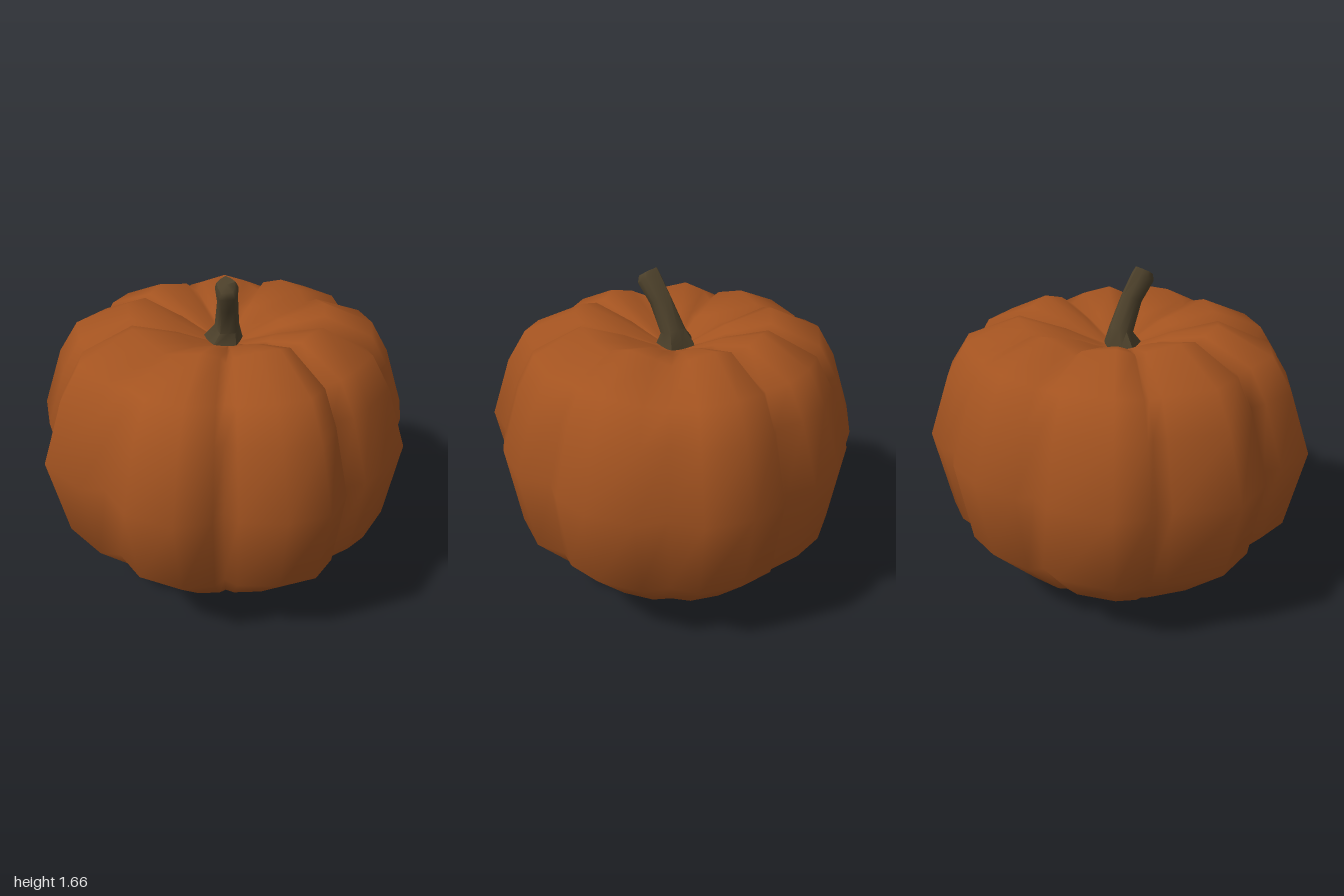
import * as THREE from 'three';
import { toCreasedNormals } from 'three/addons/utils/BufferGeometryUtils.js';

const skinMat = new THREE.MeshStandardMaterial({ color: 0xa35320 });
skinMat.name = 'pumpkin orange';
const stemMat = new THREE.MeshStandardMaterial({ color: 0x4d412b });
stemMat.name = 'stem brown';
const scarMat = new THREE.MeshStandardMaterial({ color: 0x443c0c });
scarMat.name = 'dark olive';

// Joins rings of points (clockwise from above, bottom to top), with optional end points
function loft(rings, bottom, top) {
  const n = rings[0].length, pos = rings.flat(2), index = [];
  for (let i = 0; i < rings.length; i++) {
    for (let j = 0; j < n; j++) {
      const a = i * n + j, b = i * n + (j + 1) % n;
      if (i < rings.length - 1) index.push(a, a + n, b, b, a + n, b + n);
      if (i === 0 && bottom) index.push(rings.length * n, a, b);
      if (i === rings.length - 1 && top) index.push(rings.length * n + (bottom ? 1 : 0), b, a);
    }
  }
  if (bottom) pos.push(...bottom);
  if (top) pos.push(...top);
  const geo = new THREE.BufferGeometry();
  geo.setAttribute('position', new THREE.Float32BufferAttribute(pos, 3));
  geo.setIndex(index);
  geo.computeVertexNormals();
  return geo;
}

// Nine lobes seen from above: each starts at its groove, then goes round the bulge (x, z)
const lobes = [
  [[0.11, -0.92], [0.26, -0.95], [0.48, -0.84], [0.61, -0.69]],
  [[0.64, -0.57], [0.80, -0.49], [0.89, -0.23], [0.90, -0.10]],
  [[0.86, 0.015], [0.91, 0.04], [0.98, 0.21], [0.90, 0.40], [0.75, 0.56]],
  [[0.66, 0.57], [0.68, 0.65], [0.60, 0.81], [0.38, 0.92]],
  [[0.16, 0.88], [0.08, 0.97], [-0.21, 0.99], [-0.38, 0.85]],
  [[-0.43, 0.77], [-0.54, 0.78], [-0.77, 0.67], [-0.87, 0.37]],
  [[-0.88, 0.30], [-0.93, 0.28], [-0.98, 0.12], [-0.91, -0.19]],
  [[-0.82, -0.27], [-0.85, -0.35], [-0.75, -0.57], [-0.60, -0.72]],
  [[-0.45, -0.77], [-0.43, -0.84], [-0.27, -0.95], [-0.04, -1.0]],
];

// Upright profile: radius factor, height, groove sink, roundness (1 = circle, 0 = lobed)
const profile = [
  [0.18, 0.012, 0, 1], [0.36, 0.03, 0, 0.8], [0.65, 0.12, 0, 0.5], [0.92, 0.39, 0, 0.2], [1.0, 0.82, 0, 0],
  [0.89, 1.14, 0.01, 0], [0.79, 1.31, 0.03, 0.1], [0.52, 1.435, 0.07, 0.3], [0.28, 1.36, 0.035, 0.7],
  [0.11, 1.28, 0, 1],
];

function skin() {
  const rings = profile.map(([r, y, sink, round]) => lobes.flatMap((lobe) => lobe.map(([x, z], k) => {
    // points beside a groove sink part of the way
    const g = k === 0 ? 1 : k === 1 || k === lobe.length - 1 ? 0.4 : 0;
    const s = r * (1 - round + round * 0.95 / Math.hypot(x, z));
    return [x * s, y - sink * g, z * s];
  })));
  return loft(rings, [0, 0.006, 0], [0, 1.25, 0]);
}

// Ragged scar hugging the underside
function scar() {
  const ring = [], n = 26;
  for (let i = 0; i < n; i++) {
    const a = i / n * Math.PI * 2;
    const r = 0.24 + 0.025 * Math.sin(3 * a + 1) + 0.015 * Math.sin(7 * a);
    ring.push([r * Math.cos(a), 0.009, r * Math.sin(a)]);
  }
  return loft([ring], [0, 0, 0], null);
}

// Leaning, ridged stem with a flared foot: centre x, y, z, radius, tilt
const stemRings = [
  [-0.01, 1.23, 0.025, 0.115, 0], [-0.01, 1.28, 0.025, 0.10, 0.1], [0.005, 1.35, 0.01, 0.062, 0.25],
  [0.065, 1.50, 0.055, 0.052, 0.4], [0.118, 1.60, 0.105, 0.056, 0.45], [0.122, 1.63, 0.112, 0.046, 0.45],
];

function stem() {
  const rings = stemRings.map(([cx, cy, cz, rad, tilt], level) => {
    const ring = [];
    for (let i = 0; i < 10; i++) {
      const a = i / 10 * Math.PI * 2;
      const r = rad * (i % 2 ? (level < 2 ? 0.8 : 0.92) : 1.05);
      const dx = r * Math.cos(a), dz = r * Math.sin(a);
      ring.push([cx + dx, cy - tilt * (dx + dz * 0.8), cz + dz]);
    }
    return ring;
  });
  return toCreasedNormals(loft(rings, null, [0.122, 1.633, 0.112]), 1.1);
}

export function createModel() {
  const group = new THREE.Group();
  group.name = 'pumpkin';
  const parts = [['skin', skin(), skinMat], ['bottomScar', scar(), scarMat], ['stem', stem(), stemMat]];
  for (const [name, geo, mat] of parts) {
    const mesh = new THREE.Mesh(geo, mat);
    mesh.name = name;
    group.add(mesh);
  }
  return group;
}
